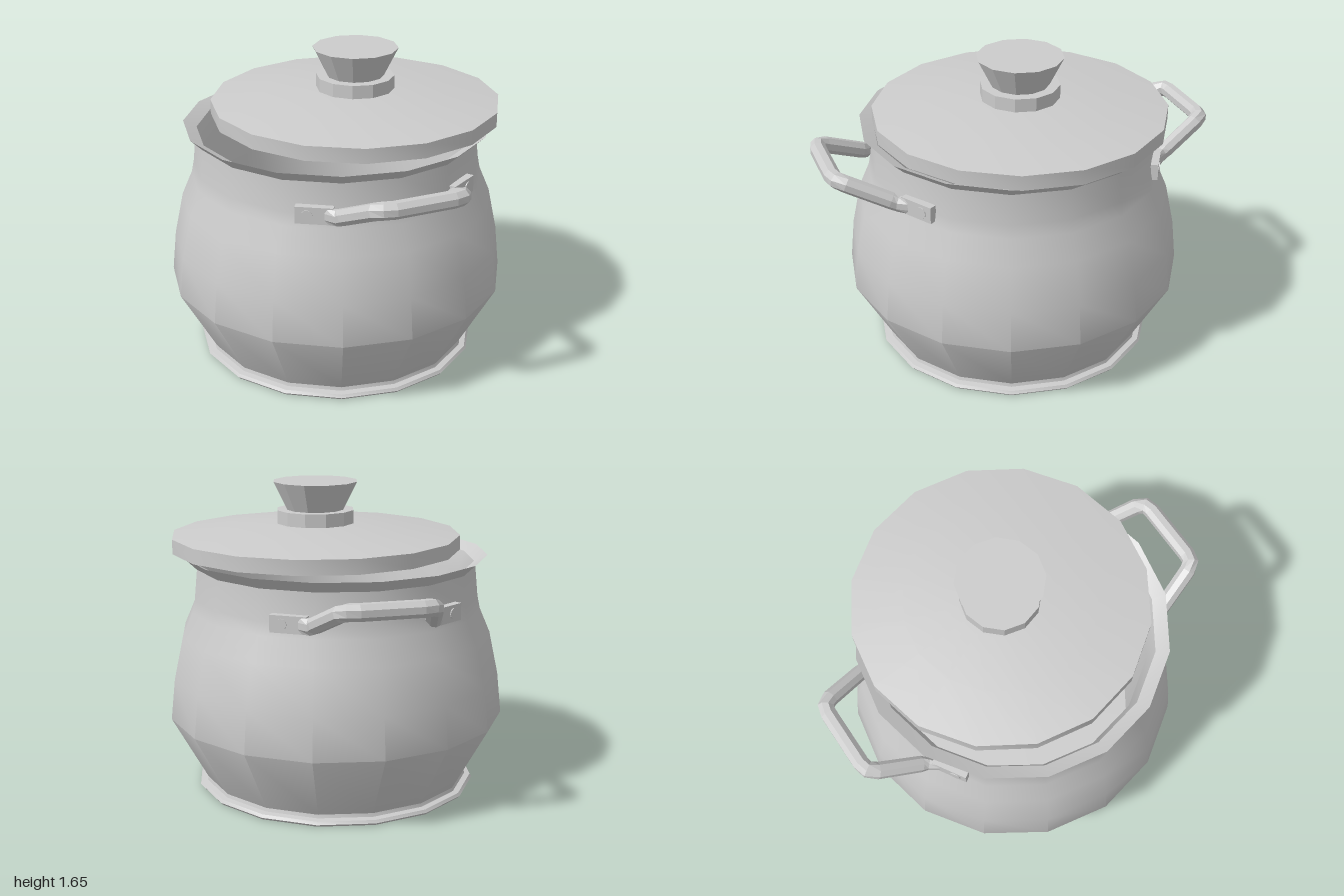
import * as THREE from 'three';
import { toCreasedNormals } from 'three/addons/utils/BufferGeometryUtils.js';

const DEG = Math.PI / 180;
const smooth = new THREE.MeshStandardMaterial({ color: 0xcccccc });
const faceted = new THREE.MeshStandardMaterial({ color: 0xcccccc, flatShading: true });

function mesh(name, geometry, material = faceted) {
  const m = new THREE.Mesh(geometry, material);
  m.name = name;
  return m;
}

function lathe(name, profile, phase) {
  const points = profile.map(([r, y]) => new THREE.Vector2(r, y));
  const geometry = new THREE.LatheGeometry(points, 16, phase);
  return mesh(name, toCreasedNormals(geometry, 0.7), smooth);
}

// Octagonal bar through sections [x, y, z, half thickness, half height]
function loft(sections, sides = 8) {
  const centers = sections.map(([x, y, z]) => new THREE.Vector3(x, y, z));
  const up = new THREE.Vector3(0, 1, 0);
  const positions = [], index = [];
  const last = sections.length - 1;
  sections.forEach(([, , , thick, high], i) => {
    const tangent = centers[Math.min(i + 1, last)].clone()
      .sub(centers[Math.max(i - 1, 0)]).normalize();
    const side = tangent.clone().cross(up).normalize();
    const normal = side.clone().cross(tangent);
    for (let j = 0; j < sides; j++) {
      const a = (j + 0.5) / sides * Math.PI * 2;
      const p = centers[i].clone()
        .addScaledVector(side, Math.cos(a) * thick * 1.05)
        .addScaledVector(normal, Math.sin(a) * high * 1.05);
      positions.push(p.x, p.y, p.z);
      if (i < last) {
        const k = (j + 1) % sides, r = i * sides, n = r + sides;
        index.push(r + j, n + j, r + k, r + k, n + j, n + k);
      }
    }
  });
  const g = new THREE.BufferGeometry();
  g.setAttribute('position', new THREE.Float32BufferAttribute(positions, 3));
  g.setIndex(index);
  g.computeVertexNormals();
  return g;
}

// Handle in a local frame: +x points away from the pot, z runs along the grip
function createHandle(name, angle) {
  const handle = new THREE.Group();
  handle.name = name;
  const half = [
    [0.69, 1.05, 0.36, 0.014, 0.042],
    [0.73, 1.05, 0.315, 0.03, 0.042],
    [0.765, 1.066, 0.297, 0.04, 0.042],
    [0.97, 1.165, 0.23, 0.042, 0.042],
    [1.01, 1.18, 0.2, 0.042, 0.042],
    [1.02, 1.18, 0.155, 0.042, 0.042],
  ];
  const mirrored = half.map(([x, y, z, t, h]) => [x, y, -z, t, h]).reverse();
  handle.add(mesh('grip', loft([...half, ...mirrored])));

  // Riveted plates at both ends
  for (const s of [-1, 1]) {
    const mount = new THREE.Group();
    mount.name = 'mount';
    mount.rotation.y = -s * 31.6 * DEG;
    const plate = mesh('mountPlate', new THREE.BoxGeometry(0.04, 0.088, 0.19));
    plate.position.set(0.768, 1.052, 0);
    const rivet = mesh('rivet', new THREE.CylinderGeometry(0.029, 0.029, 0.02, 12));
    rivet.rotation.z = -Math.PI / 2;
    rivet.position.set(0.783, 1.052, s * 0.035);
    mount.add(plate, rivet);
    handle.add(mount);
  }
  handle.rotation.y = -angle * DEG;
  return handle;
}

export function createModel() {
  const model = new THREE.Group();
  model.name = 'cookingPot';

  // Pot shell: base flange, belly, flared rim, inner wall and floor
  model.add(lathe('potBody', [
    [0, 0], [0.755, 0], [0.765, 0.012], [0.755, 0.027], [0.725, 0.032],
    [0.72, 0.05], [0.912, 0.4], [0.888, 0.62], [0.838, 0.85], [0.782, 0.98],
    [0.768, 1.05], [0.752, 1.21], [0.815, 1.27], [0.745, 1.235],
    [0.71, 1.12], [0.7, 0.08], [0, 0.08],
  ], 10.25 * DEG));

  // Lid with a shallow dome, collar and tapered knob
  const lid = new THREE.Group();
  lid.name = 'lid';
  lid.position.set(0.065, 0, -0.087);
  lid.add(lathe('lidDisc', [
    [0, 1.3], [0.77, 1.3], [0.77, 1.377], [0.5, 1.412], [0.22, 1.434], [0, 1.438],
  ], Math.PI / 16));
  const collar = mesh('knobCollar', new THREE.CylinderGeometry(0.208, 0.208, 0.085, 12));
  collar.position.y = 1.4625;
  const knob = mesh('knob', new THREE.CylinderGeometry(0.227, 0.15, 0.155, 12));
  knob.position.y = 1.5775;
  collar.rotation.y = knob.rotation.y = -4 * DEG;
  lid.add(collar, knob);
  model.add(lid);

  model.add(createHandle('frontLeftHandle', 35.6), createHandle('backRightHandle', 215.6));
  return model;
}
